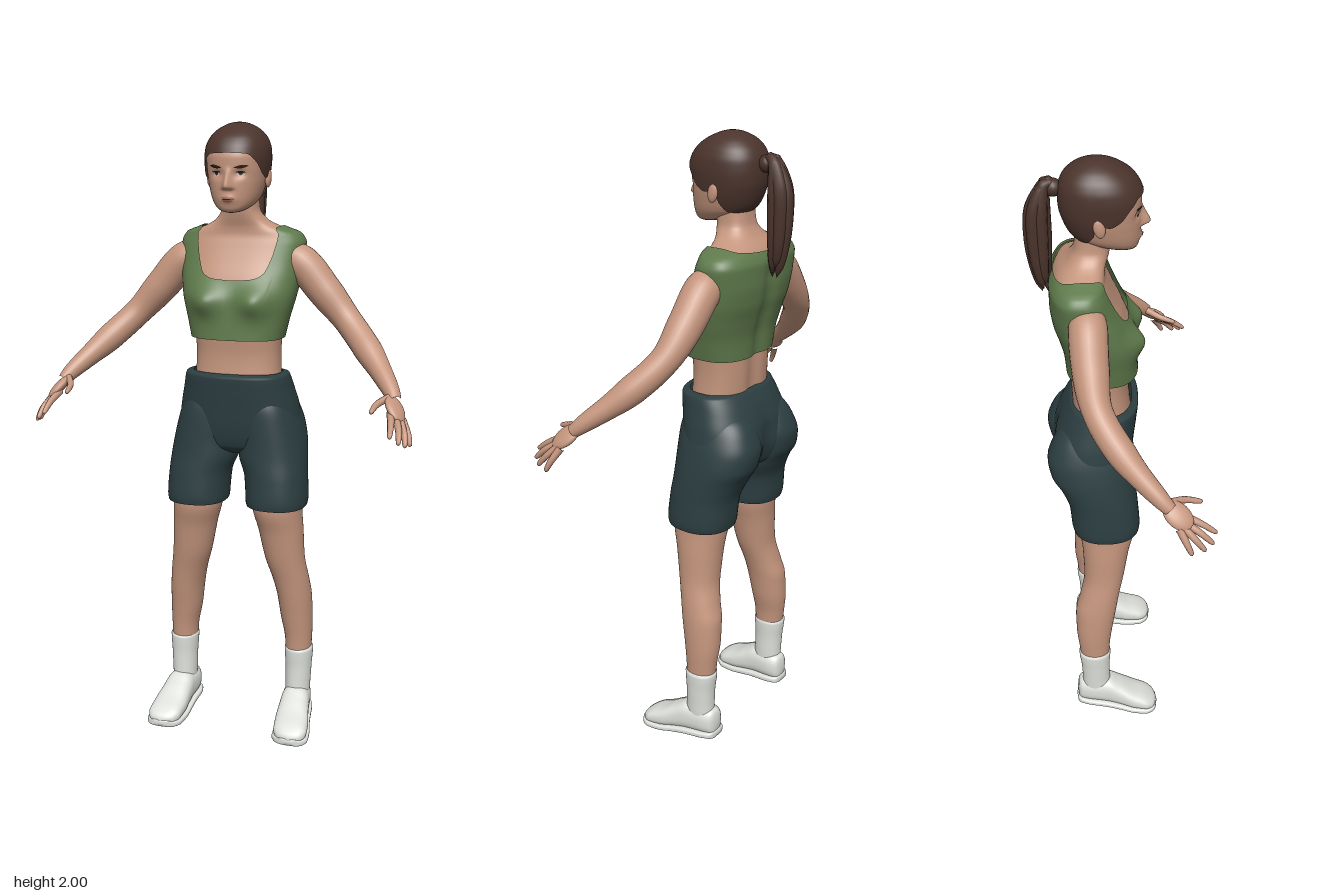
import * as THREE from 'three';
import { mergeVertices } from 'three/addons/utils/BufferGeometryUtils.js';

const paint = (name, color, side = THREE.FrontSide) => {
  const m = new THREE.MeshStandardMaterial({ color, side });
  m.name = name;
  return m;
};
const V = (p) => new THREE.Vector3(...p);
const bell = (d, width) => Math.exp(-((d / width) ** 2));
const smooth = THREE.MathUtils.smoothstep;

// Monotone cubic interpolation of one column of a table keyed by its first column
function sample(rows, t, col = 1) {
  const n = rows.length - 1;
  const slope = (i) => (rows[i + 1][col] - rows[i][col]) / (rows[i + 1][0] - rows[i][0]);
  const tangent = (i) => {
    if (i === 0) return slope(0);
    if (i === n) return slope(n - 1);
    const a = slope(i - 1), b = slope(i);
    return a * b <= 0 ? 0 : (2 * a * b) / (a + b);
  };
  t = THREE.MathUtils.clamp(t, rows[0][0], rows[n][0]);
  let i = 0;
  while (i < n - 1 && t > rows[i + 1][0]) i++;
  const h = rows[i + 1][0] - rows[i][0], s = (t - rows[i][0]) / h, s2 = s * s, s3 = s2 * s;
  return (2 * s3 - 3 * s2 + 1) * rows[i][col] + (s3 - 2 * s2 + s) * h * tangent(i)
    + (3 * s2 - 2 * s3) * rows[i + 1][col] + (s3 - s2) * h * tangent(i + 1);
}

// Surface through rounded sections [t, centre x, half width, high side, low side], grown by k
function form(rows, { n = 2.3, axis = 'y', bump } = {}) {
  const pow = (v) => Math.sign(v) * Math.abs(v) ** (2 / n);
  const at = (angle, t, k = 0) => {
    const [c, w, hi, lo] = [1, 2, 3, 4].map((col) => sample(rows, t, col));
    const x = c + w * (1 + k) * pow(Math.sin(angle));
    let d = (hi + lo) / 2 + ((hi - lo) / 2) * (1 + k) * pow(Math.cos(angle));
    if (bump) d += bump(x, t, Math.cos(angle));
    return axis === 'y' ? [x, t, d] : [x, d, t];
  };
  return { at, flip: axis === 'z', lo: rows[0][0], hi: rows[rows.length - 1][0] };
}

// Mesh of a form between two edges, which may vary with the angle
function patch(f, { lo = () => f.lo, hi = () => f.hi, a0 = -Math.PI, a1 = Math.PI, k = 0, nu = 48, nv = 30, ease = (v) => v } = {}) {
  const pos = [], idx = [];
  for (let j = 0; j <= nv; j++) for (let i = 0; i <= nu; i++) {
    const a = a0 + ((a1 - a0) * i) / nu, l = lo(a);
    pos.push(...f.at(a, l + (hi(a) - l) * ease(j / nv), k));
    if (i < nu && j < nv) {
      const p = j * (nu + 1) + i, q = p + 1, r = q + nu + 1, s = p + nu + 1;
      idx.push(...(f.flip ? [p, r, q, p, s, r] : [p, q, r, p, r, s]));
    }
  }
  const g = new THREE.BufferGeometry();
  g.setAttribute('position', new THREE.Float32BufferAttribute(pos, 3));
  g.setIndex(idx);
  return weld(g);
}
function weld(g) {
  g.deleteAttribute('uv');
  g.deleteAttribute('normal');
  g = mergeVertices(g, 1e-5);
  g.computeVertexNormals();
  return g;
}

// Tube along points whose radius follows a table of [u, radius]
function limb(points, radii, seg = 32, sides = 20) {
  const curve = new THREE.CatmullRomCurve3(points.map(V));
  const g = new THREE.TubeGeometry(curve, seg, 1, sides), p = g.attributes.position, v = new THREE.Vector3();
  for (let i = 0; i < p.count; i++) {
    const u = Math.floor(i / (sides + 1)) / seg, c = curve.getPointAt(u);
    v.fromBufferAttribute(p, i).sub(c).multiplyScalar(sample(radii, u)).add(c);
    p.setXYZ(i, v.x, v.y, v.z);
  }
  return weld(g);
}
function mirrored(g) {
  const m = g.clone().scale(-1, 1, 1), a = m.index.array;
  for (let i = 0; i < a.length; i += 3) [a[i + 1], a[i + 2]] = [a[i + 2], a[i + 1]];
  m.computeVertexNormals();
  return m;
}

export function createModel() {
  const root = new THREE.Group();
  root.name = 'woman';
  const skin = paint('skin', 0xc4957d), hair = paint('hair', 0x4b342c, THREE.DoubleSide);
  const green = paint('greenCloth', 0x5f7a4c, THREE.DoubleSide), dark = paint('darkCloth', 0x2c3e41, THREE.DoubleSide);
  const white = paint('white', 0xdde0da, THREE.DoubleSide), brown = paint('darkBrown', 0x2a1d18);
  const lip = paint('lip', 0x9c6656), eyeWhite = paint('eyeWhite', 0xc9bdb4);
  const add = (name, g, mat) => {
    const m = new THREE.Mesh(g, mat);
    m.name = name;
    root.add(m);
  };
  const pair = (name, g, mat) => {
    add(name + 'Left', g, mat);
    add(name + 'Right', mirrored(g), mat);
  };

  // Torso and neck
  const spine = (x, c) => (c < 0 ? 0.012 * bell(x, 0.03) : 0);
  const torso = form([[1.15, 0, .145, .045, -.14], [1.28, 0, .137, .034, -.147], [1.36, 0, .143, .04, -.15],
    [1.46, 0, .168, .04, -.17], [1.52, 0, .18, .02, -.185], [1.58, 0, .186, -.008, -.193], [1.63, 0, .188, -.028, -.193],
    [1.66, 0, .172, -.037, -.182], [1.68, 0, .125, -.036, -.167], [1.7, 0, .085, -.03, -.148], [1.735, 0, .06, -.022, -.128],
    [1.8, 0, .056, -.02, -.12]], { n: 2.5, bump: (x, y, c) => spine(x, c) * (y < 1.62 ? 1 : 0) });
  add('torsoAndNeck', patch(torso, { nu: 72, nv: 70 }), skin);

  // Cropped top with a scooped neckline
  const top = form([[1.335, 0, .15, .062, -.16], [1.4, 0, .165, .058, -.166], [1.46, 0, .181, .052, -.18],
    [1.52, 0, .192, .03, -.197], [1.58, 0, .198, .002, -.204], [1.63, 0, .203, -.018, -.204], [1.66, 0, .188, -.027, -.192],
    [1.68, 0, .14, -.028, -.176], [1.7, 0, .095, -.022, -.157]], {
    n: 2.6,
    bump: (x, y, c) => spine(x, c) * (1 - smooth(y, 1.58, 1.66))
      + (c > 0 ? .034 * c * bell(Math.abs(x) - .085, .05) * bell(y - 1.455, .045) : 0),
  });
  const neckline = [[0, 1.52], [.25, 1.525], [.42, 1.54], [.52, 1.58], [.6, 1.64], [.75, 1.67], [1.1, 1.682],
    [1.6, 1.684], [2.4, 1.675], [3.15, 1.665]];
  add('croppedTop', patch(top, { hi: (a) => sample(neckline, Math.abs(a)), nu: 128, nv: 50 }), green);

  // Shorts: hips and two legs
  const hips = form([[.94, 0, 0, -.1, -.1], [.955, 0, .13, -.01, -.15], [.985, 0, .195, .03, -.185], [1.05, 0, .202, .046, -.207],
    [1.11, 0, .194, .053, -.2], [1.17, 0, .18, .06, -.178], [1.215, 0, .169, .064, -.153], [1.222, 0, .166, .06, -.148],
    [1.225, 0, .145, .043, -.137]], { n: 2.5, bump: (x, y, c) => (c < 0 ? .02 * bell(x, .025) * bell(y - 1.04, .08) : 0) });
  add('shortsHips', patch(hips, { nu: 72, nv: 60 }), dark);
  const shortLeg = form([[.785, .135, .098, .064, -.148], [.8, .135, .101, .066, -.152], [.88, .13, .102, .06, -.16],
    [.95, .115, .111, .053, -.188], [1.0, .111, .108, .05, -.217], [1.05, .105, .103, .048, -.225], [1.1, .1, .092, .045, -.21],
    [1.15, .095, .07, .03, -.175], [1.18, .09, .02, -.03, -.1]], { n: 2.3 });
  pair('shortsLeg', patch(shortLeg, { nv: 40 }), dark);

  // Legs, socks and shoes
  const leg = form([[.1, .205, .037, -.04, -.125], [.22, .205, .042, -.038, -.132], [.3, .204, .045, -.035, -.14],
    [.38, .197, .053, -.025, -.148], [.46, .19, .057, -.012, -.147], [.52, .18, .06, -.002, -.132], [.6, .162, .066, .015, -.117],
    [.7, .149, .074, .032, -.121], [.78, .137, .081, .05, -.13], [.88, .135, .082, .05, -.135]], { n: 2.1 });
  pair('leg', patch(leg, { nv: 50 }), skin);
  const sock = form([[.09, .205, .04, -.03, -.13], [.14, .205, .042, -.035, -.131], [.2, .206, .044, -.036, -.134],
    [.265, .206, .0475, -.033, -.141], [.272, .206, .0475, -.033, -.141], [.274, .206, .042, -.04, -.135]], { n: 2.1 });
  pair('sock', patch(sock), white);
  const shoeRows = [[-.15, .2, 0, .08, .08], [-.146, .2, .022, .112, .04], [-.135, .2, .036, .125, .032], [-.1, .202, .045, .132, .03],
    [-.045, .207, .048, .135, .025], [0, .211, .052, .113, .018], [.05, .217, .057, .083, .01], [.09, .221, .056, .064, .008],
    [.115, .223, .043, .048, .009], [.125, .224, .026, .038, .012], [.13, .225, 0, .025, .025]];
  pair('shoe', patch(form(shoeRows, { n: 2.5, axis: 'z' }), { nv: 60 }), white);
  const soleRows = shoeRows.map(([z, c, w, , bottom], i) => {
    const end = i === 0 || i === shoeRows.length - 1, y = end ? (i ? .018 : .04) : Math.min(bottom, .032);
    return [z * 1.02, c, w && w + .005, end ? y : y + .016, end ? y : y - .008];
  });
  pair('sole', patch(form(soleRows, { n: 4, axis: 'z' }), { nv: 60 }), white);

  // Arms
  pair('arm', limb([[.13, 1.605, -.09], [.2, 1.565, -.092], [.27, 1.487, -.088], [.35, 1.398, -.072], [.44, 1.305, -.002],
    [.525, 1.213, .1], [.54, 1.19, .125]], [[0, .04], [.12, .057], [.3, .054], [.5, .044], [.65, .044], [.8, .035], [.94, .026], [1, .02]], 48, 24), skin);

  // Hands
  const along = V([.045, -.07, .085]).normalize(), across = V([.04, -.03, -.03]);
  across.addScaledVector(along, -across.dot(along)).normalize();
  const palm = new THREE.SphereGeometry(1, 24, 16).scale(.036, .052, .016);
  palm.applyMatrix4(new THREE.Matrix4().makeBasis(across, along, across.clone().cross(along)).setPosition(.545, 1.172, .147));
  pair('palm', weld(palm), skin);
  const digits = {
    thumb: [[.522, 1.2, .125], [.495, 1.187, .17], [.485, 1.17, .224]],
    indexFinger: [[.535, 1.162, .165], [.545, 1.138, .215], [.55, 1.106, .261]],
    middleFinger: [[.55, 1.152, .165], [.568, 1.122, .212], [.575, 1.086, .25]],
    ringFinger: [[.562, 1.145, .16], [.583, 1.108, .198], [.591, 1.074, .226]],
    littleFinger: [[.568, 1.142, .15], [.591, 1.1, .172], [.6, 1.068, .187]],
  };
  for (const [name, pts] of Object.entries(digits)) {
    pair(name, limb(pts, [[0, .012], [.6, .0095], [.92, .007], [.98, .004], [1, 0]], 20, 10), skin);
  }

  // Head with nose, eye sockets and lips shaped into the face
  const face = (x, y, c) => (c < 0 ? 0 : .028 * bell(x, .009 + .006 * (1 - smooth(y, 1.8, 1.85))) * smooth(y, 1.795, 1.806) * (1 - smooth(y, 1.806, 1.872))
    - .009 * bell(Math.abs(x) - .036, .018) * bell(y - 1.846, .014)
    + .006 * bell(x, .022) * bell(y - 1.77, .012));
  const head = form([[1.727, 0, 0, .03, .03], [1.731, 0, .026, .05, -.005], [1.74, 0, .045, .058, -.04], [1.755, 0, .062, .062, -.085],
    [1.775, 0, .074, .065, -.122], [1.8, 0, .082, .066, -.14], [1.83, 0, .089, .066, -.152], [1.86, 0, .093, .068, -.16],
    [1.89, 0, .095, .068, -.162], [1.92, 0, .093, .06, -.16], [1.95, 0, .083, .042, -.15], [1.975, 0, .063, .012, -.128],
    [1.99, 0, .04, -.017, -.103], [1.998, 0, .018, -.042, -.078], [2, 0, 0, -.06, -.06]], { n: 2.2, bump: face });
  add('head', patch(head, { hi: () => 1.95, nu: 144, nv: 64 }), skin);
  pair('ear', weld(new THREE.SphereGeometry(1, 16, 12).scale(.01, .03, .017).rotateX(-.2).translate(.094, 1.832, -.055)), skin);

  // Facial details as thin lens-shaped plates
  const lens = (a0, a1, y, h, tilt = 0, k = .03) => {
    const mid = (a) => y + tilt * ((a - a0) / (a1 - a0) - .5), half = (a) => h * Math.sin((Math.PI * (a - a0)) / (a1 - a0));
    return patch(head, { a0, a1, lo: (a) => mid(a) - half(a), hi: (a) => mid(a) + half(a), k, nu: 20, nv: 6 });
  };
  pair('eye', lens(.22, .53, 1.845, .006), eyeWhite);
  pair('iris', lens(.31, .45, 1.846, .006, 0, .037), brown);
  pair('eyelash', lens(.2, .56, 1.851, .003, 0, .04), brown);
  pair('eyebrow', lens(.16, .66, 1.867, .005, .006), brown);
  add('upperLip', lens(-.27, .27, 1.774, .0045), lip);
  add('lowerLip', lens(-.23, .23, 1.765, .005), lip);
  add('mouthLine', lens(-.28, .28, 1.7695, .0015, 0, .036), brown);

  // Swept-back hair and ponytail of overlapping strands
  const hairline = [[0, 1.908], [.55, 1.905], [.9, 1.88], [1.2, 1.845], [1.45, 1.832], [1.65, 1.84], [1.85, 1.8], [2.2, 1.775], [3.15, 1.768]];
  add('hair', patch(head, { lo: (a) => sample(hairline, Math.abs(a)), k: .07, nu: 96, nv: 40, ease: (v) => Math.sin((v * Math.PI) / 2) }), hair);
  add('hairKnot', weld(new THREE.SphereGeometry(.026, 16, 12).translate(0, 1.915, -.18)), hair);
  for (let i = 0; i < 6; i++) {
    const a = (i * Math.PI) / 3, x = Math.sin(a), z = Math.cos(a);
    add('ponytailStrand', limb([[0, 1.915, -.17], [x * .008, 1.93 + z * .005, -.2], [x * .018, 1.86, -.225 + z * .016],
      [x * .019, 1.76, -.228 + z * .02], [x * .015, 1.66, -.222 + z * .014], [x * .008, 1.585 + .012 * (i % 3), -.212 + z * .008]],
    [[0, .012], [.15, .017], [.4, .022], [.7, .02], [.9, .014], [1, 0]], 36, 10), hair);
  }
  return root;
}
